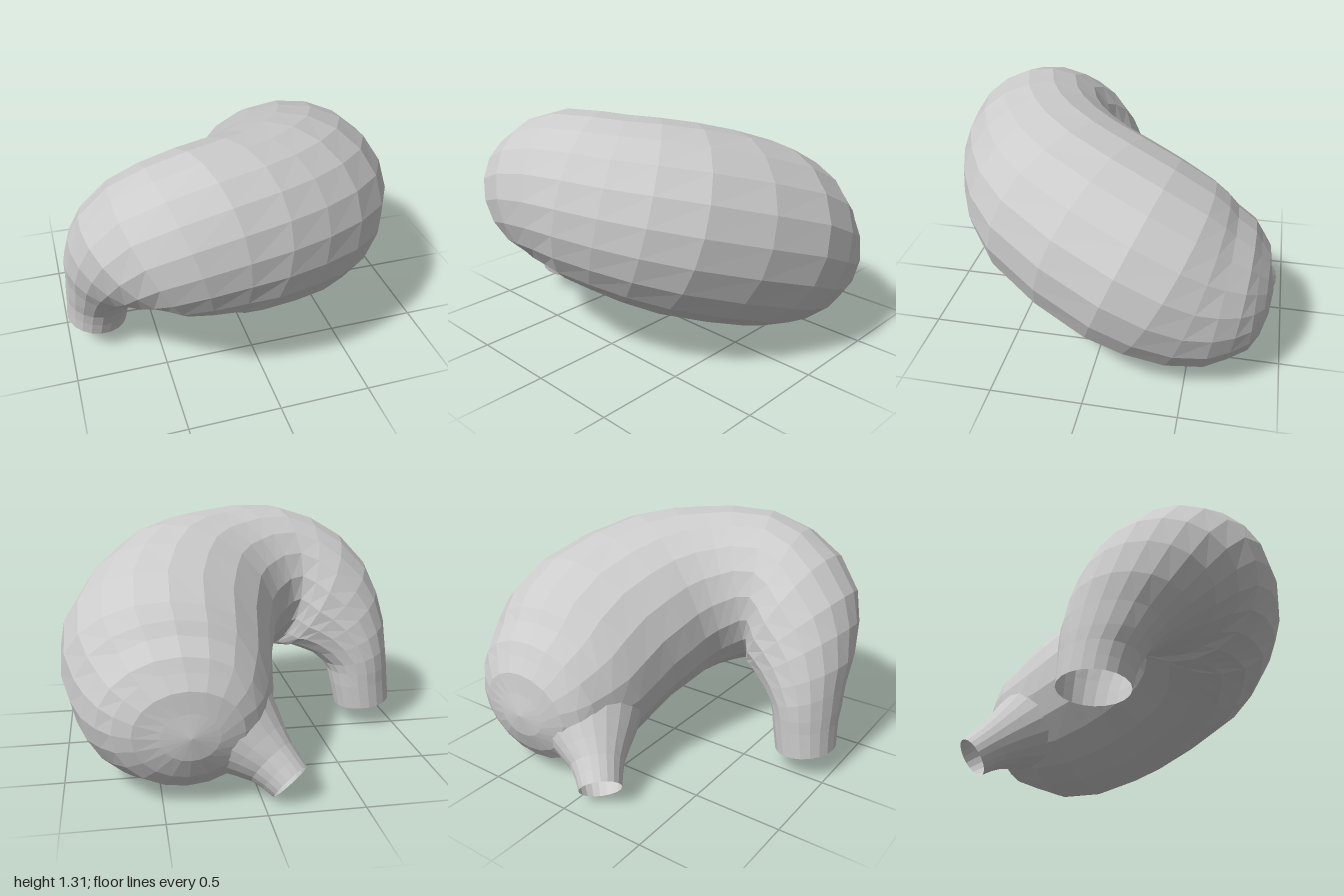
import * as THREE from 'three';

const SIDES = 20;

// Sweeps elliptical cross-sections along a smooth path, leaving the ends open.
// Each station: [centre], [width radius, thickness radius], [direction of the width]
function sweep(name, stations, stepsPerStation, material) {
  const spline = (k) => new THREE.CatmullRomCurve3(
    stations.map((s) => new THREE.Vector3(s[k][0], s[k][1], s[k][2] ?? 0)), false, 'catmullrom', 0.5);
  const centres = spline(0), radii = spline(1), sideways = spline(2);
  const rings = (stations.length - 1) * stepsPerStation;
  const positions = [], index = [];

  for (let i = 0; i <= rings; i++) {
    const t = i / rings;
    const c = centres.getPoint(t), r = radii.getPoint(t);
    const u = sideways.getPoint(t).normalize();
    const v = new THREE.Vector3().crossVectors(centres.getTangent(t), u).normalize();
    for (let j = 0; j < SIDES; j++) {
      const a = (j / SIDES) * Math.PI * 2;
      const p = c.clone().addScaledVector(u, Math.cos(a) * r.x).addScaledVector(v, Math.sin(a) * r.y);
      positions.push(p.x, p.y, p.z);
    }
  }
  for (let i = 0; i < rings; i++) {
    for (let j = 0; j < SIDES; j++) {
      const k = (j + 1) % SIDES;
      const a = i * SIDES + j, b = i * SIDES + k, c = a + SIDES, d = b + SIDES;
      index.push(a, b, c, b, d, c);
    }
  }

  const geometry = new THREE.BufferGeometry();
  geometry.setAttribute('position', new THREE.Float32BufferAttribute(positions, 3));
  geometry.setIndex(index);
  geometry.computeVertexNormals();
  const mesh = new THREE.Mesh(geometry, material);
  mesh.name = name;
  return mesh;
}

export function createModel() {
  const group = new THREE.Group();
  group.name = 'stomach';
  const material = new THREE.MeshStandardMaterial({
    color: 0xcccccc, flatShading: true, side: THREE.DoubleSide,
  });

  // Curved sac: rounded dome at the back, wide middle, narrowing to the open outlet that turns down
  group.add(sweep('stomachBody', [
    [[0.36, 0.40, -0.93], [0.001, 0.001], [1, 0, 0]],
    [[0.37, 0.40, -0.88], [0.28, 0.23], [1, 0, 0]],
    [[0.39, 0.41, -0.75], [0.43, 0.37], [1, 0, 0]],
    [[0.41, 0.46, -0.50], [0.535, 0.485], [1, 0, 0]],
    [[0.415, 0.615, -0.17], [0.59, 0.53], [1, 0.05, 0.12]],
    [[0.24, 0.765, 0.25], [0.555, 0.52], [0.86, 0.15, 0.5]],
    [[-0.02, 0.835, 0.45], [0.49, 0.48], [0.64, 0.17, 0.77]],
    [[-0.29, 0.86, 0.52], [0.44, 0.45], [0.3, 0.15, 0.95]],
    [[-0.55, 0.775, 0.45], [0.43, 0.40], [-0.08, 0.1, 1]],
    [[-0.70, 0.62, 0.33], [0.36, 0.31], [-0.08, 0, 1]],
    [[-0.785, 0.43, 0.20], [0.26, 0.205], [0, 0, 1]],
    [[-0.81, 0.27, 0.14], [0.20, 0.18], [0, 0, 1]],
    [[-0.83, 0.125, 0.12], [0.18, 0.17], [0, 0, 1]],
  ], 2, material));

  // Short open inlet tube flaring into the back of the sac
  group.add(sweep('inletTube', [
    [[0.16, 0.36, -0.60], [0.32, 0.30], [1, 0, -1]],
    [[0.05, 0.27, -0.70], [0.24, 0.21], [1, 0, -1]],
    [[-0.06, 0.18, -0.79], [0.145, 0.14], [1, 0, -1]],
    [[-0.14, 0.10, -0.865], [0.115, 0.115], [1, 0, -1]],
  ], 2, material));

  return group;
}
